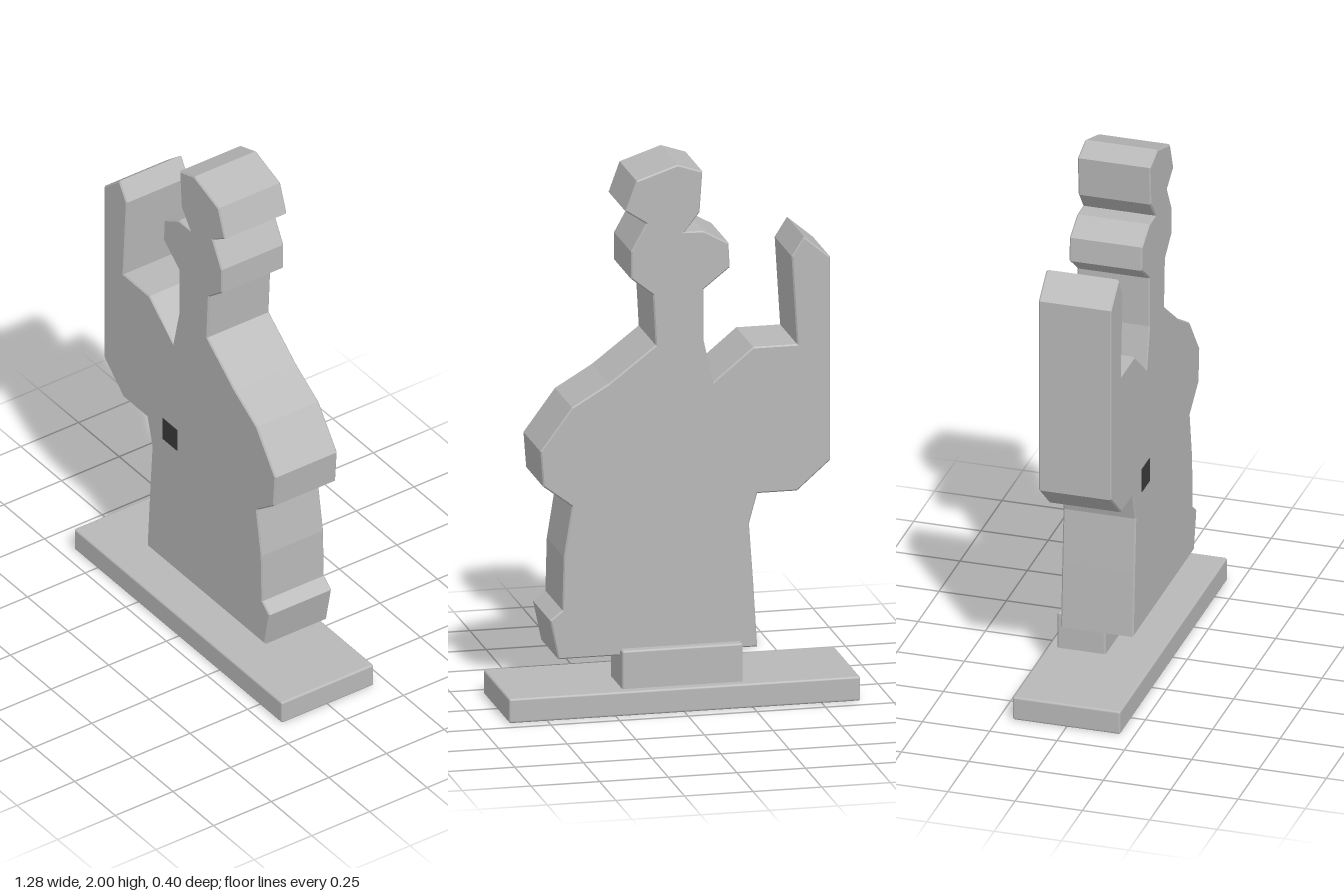
import * as THREE from 'three';
import { RoundedBoxGeometry } from 'three/addons/geometries/RoundedBoxGeometry.js';

const EDGE = 0.005;

export function createModel() {
  const grey = new THREE.MeshStandardMaterial({ name: 'matte grey', color: 0xb8b8b8 });
  const dark = new THREE.MeshStandardMaterial({ name: 'dark grey', color: 0x3a3a3a });
  const model = new THREE.Group();
  model.name = 'standingSilhouette';

  const add = (name, geometry, material, x, y, z) => {
    const mesh = new THREE.Mesh(geometry, material);
    mesh.name = name;
    mesh.position.set(x, y, z);
    model.add(mesh);
  };

  // Base slab and the mounting tab behind the figure
  add('base', new RoundedBoxGeometry(1.28, 0.09, 0.4, 2, 0.008), grey, 0, 0.045, 0);
  add('mountingTab', new RoundedBoxGeometry(0.44, 0.15, 0.18, 2, 0.008), grey, 0, 0.155, -0.075);

  // Figure outline, clockwise from the top of the head
  const outline = [
    // head and neck, left side
    [0.01, 2], [0.16, 1.95], [0.2, 1.84], [0.125, 1.79], [0.18, 1.69], [0.18, 1.59], [0.1, 1.525], [0.09, 1.34],
    // left shoulder and arm
    [0.26, 1.21], [0.395, 1.13], [0.51, 0.975], [0.5, 0.845], [0.395, 0.765],
    // lower body
    [0.425, 0.58], [0.43, 0.385], [0.475, 0.35], [0.445, 0.205], [-0.28, 0.205], [-0.265, 0.45], [-0.25, 0.66], [-0.28, 0.77],
    // raised right arm
    [-0.425, 0.77], [-0.545, 0.875], [-0.545, 1.625], [-0.45, 1.705], [-0.405, 1.635], [-0.425, 1.31], [-0.265, 1.31],
    // neck and head, right side
    [-0.12, 1.19], [-0.085, 1.345], [-0.085, 1.535], [-0.18, 1.61], [-0.175, 1.7], [-0.085, 1.75], [-0.015, 1.75],
    [-0.07, 1.82], [-0.08, 1.97],
  ].map(([x, y]) => new THREE.Vector2(x, y));
  const depth = 0.27;
  const body = new THREE.ExtrudeGeometry(new THREE.Shape(outline), {
    depth: depth - 2 * EDGE,
    bevelEnabled: true,
    bevelThickness: EDGE,
    bevelSize: EDGE,
    bevelOffset: -EDGE,
    bevelSegments: 1,
  });
  body.translate(0, 0, EDGE - depth / 2);
  add('figure', body, grey, 0, 0, 0.002);

  // Small square mark on the front
  add('frontMark', new THREE.BoxGeometry(0.09, 0.09, 0.004), dark, -0.137, 0.78, 0.1375);

  return model;
}
